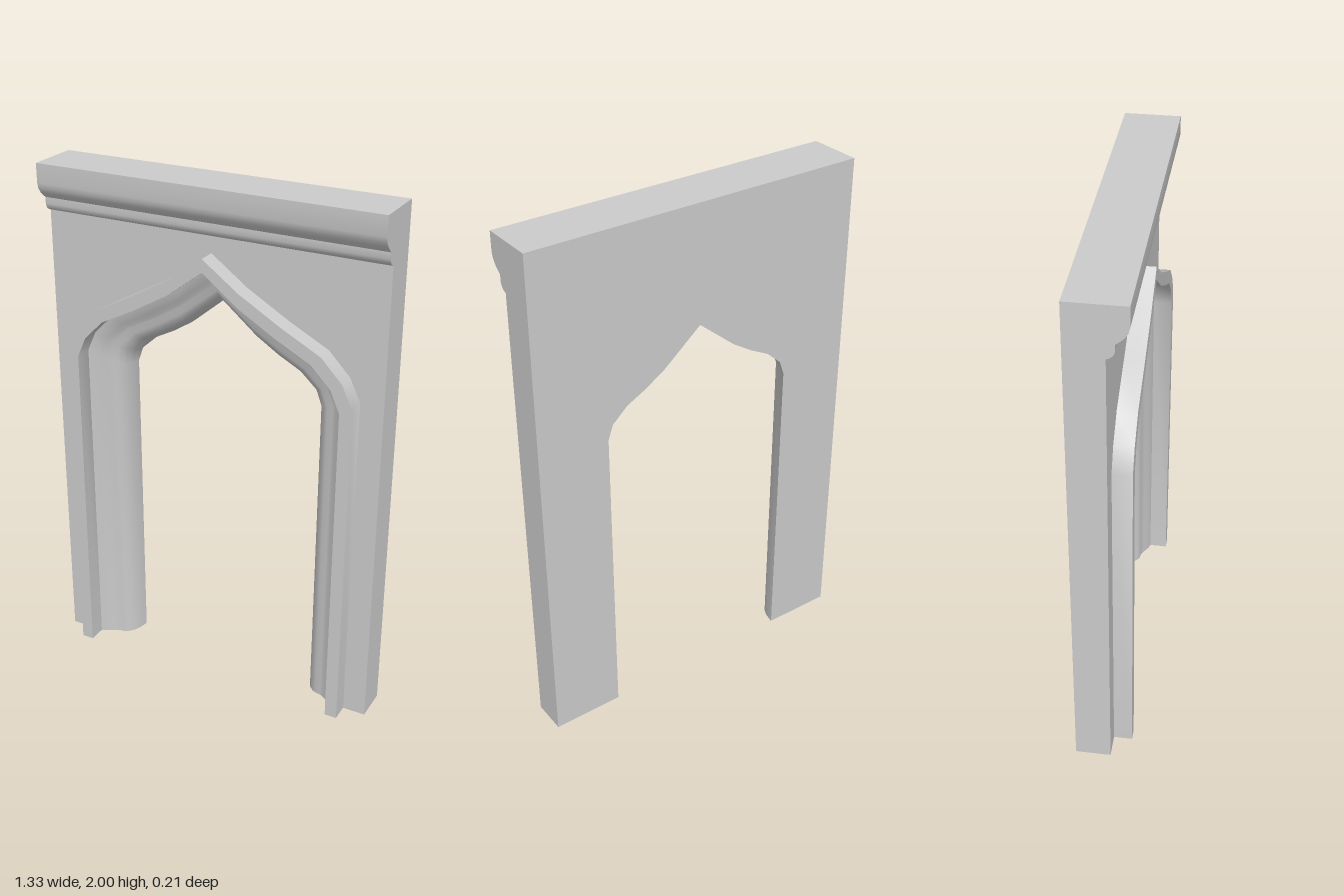
import * as THREE from 'three';
import { toCreasedNormals } from 'three/addons/utils/BufferGeometryUtils.js';

const HALF = 0.665, BACK = -0.103, FACE = 0.03, FRONT = 0.103;

// Right half of the arch, floor to apex: outer edge and inner edge of the moulding
const OUTER = [[0.577, 0], [0.577, 1.305], [0.536, 1.392], [0.455, 1.476], [0.3, 1.556], [0.14, 1.648], [0, 1.75]];
const INNER = [[0.388, 0], [0.388, 1.22], [0.368, 1.277], [0.307, 1.332], [0.228, 1.373], [0.15, 1.423], [0, 1.548]];

// Moulding section: share of the way from outer to inner edge, and depth z
const SECTION = [
  [0, FACE], [0, 0.1], [0.25, 0.1], [0.25, 0.03], [0.35, 0.024], [0.46, 0.012], [0.54, 0.002],
  [0.6, -0.003], [0.72, -0.007], [0.8, -0.015], [0.89, -0.033], [0.96, -0.062], [1, BACK], [0, BACK],
];

// Full path from the left foot over the apex to the right foot
const mirrored = (half) => [...half, ...half.slice(0, -1).reverse().map(([x, y]) => [-x, y])];
const toShape = (pts) => new THREE.Shape(pts.map(([x, y]) => new THREE.Vector2(x, y)));

function mouldingGeometry() {
  const outer = mirrored(OUTER), inner = mirrored(INNER), n = SECTION.length;
  const positions = [], index = [];
  outer.forEach(([ox, oy], i) => {
    const [ix, iy] = inner[i];
    for (const [u, z] of SECTION) positions.push(ox + (ix - ox) * u, oy + (iy - oy) * u, z);
  });
  for (let i = 0; i < outer.length - 1; i++) {
    for (let j = 0; j < n - 1; j++) {
      const a = i * n + j, b = a + n;
      index.push(a, b, b + 1, a, b + 1, a + 1);
    }
  }
  const geo = new THREE.BufferGeometry();
  geo.setAttribute('position', new THREE.Float32BufferAttribute(positions, 3));
  geo.setIndex(index);
  return toCreasedNormals(geo, 0.6);
}

export function createModel() {
  const group = new THREE.Group();
  const material = new THREE.MeshStandardMaterial({ color: 0xcccccc });
  const add = (name, geometry) => {
    const mesh = new THREE.Mesh(geometry, material);
    mesh.name = name;
    group.add(mesh);
  };

  // Wall slab, cut out up to the outer edge of the moulding
  const wall = toShape([[HALF, 0], [HALF, 2], [-HALF, 2], [-HALF, 0], ...mirrored(OUTER).reverse()]);
  const wallGeo = new THREE.ExtrudeGeometry(wall, { depth: FACE - BACK, bevelEnabled: false });
  add('wall', wallGeo.translate(0, 0, BACK));

  // Raised rib and stepped reveal around the opening
  add('archMoulding', mouldingGeometry());

  // Undersides of the moulding at both feet
  for (const side of [1, -1]) {
    const [o, i] = [OUTER[0][0], INNER[0][0]];
    const foot = toShape(SECTION.map(([u, z]) => [side * (o + (i - o) * u), z]));
    add(side > 0 ? 'leftMouldingFoot' : 'rightMouldingFoot', new THREE.ShapeGeometry(foot).rotateX(Math.PI / 2));
  }

  // Cornice: a (z, y) section run along the top of the wall
  const cornice = toShape([
    [FACE, 2], [FRONT, 2], [FRONT, 1.928], [0.098, 1.908], [0.086, 1.89], [0.071, 1.876], [0.058, 1.866],
    [0.058, 1.842], [0.053, 1.827], [0.043, 1.818], [FACE, 1.812],
  ]);
  const corniceGeo = new THREE.ExtrudeGeometry(cornice, { depth: 2 * HALF, bevelEnabled: false });
  corniceGeo.rotateY(-Math.PI / 2).translate(HALF, 0, 0);
  add('cornice', toCreasedNormals(corniceGeo, 0.6));

  return group;
}
